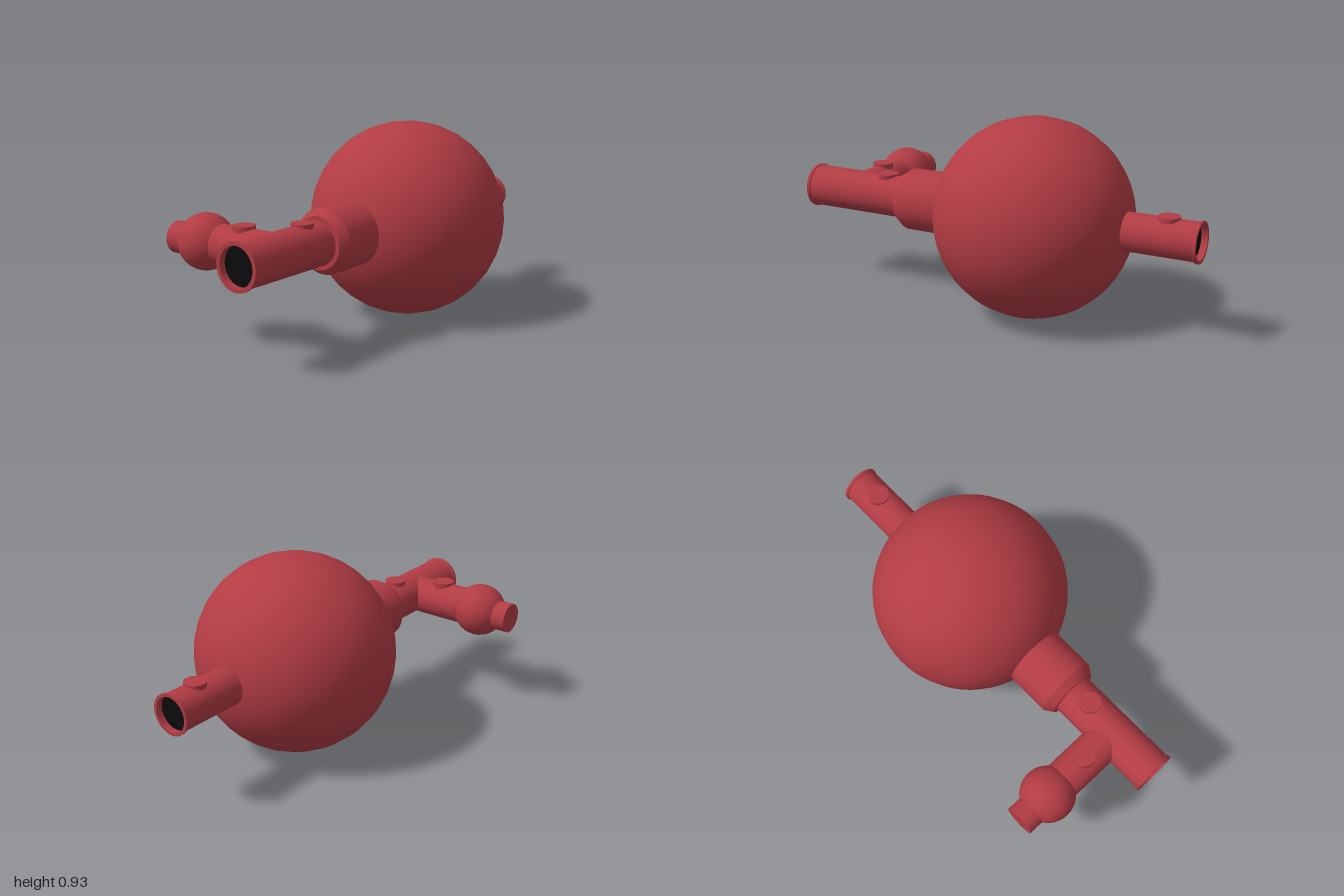
import * as THREE from 'three';
import { toCreasedNormals } from 'three/addons/utils/BufferGeometryUtils.js';

const AXIS_Y = 0.463, AXIS_Z = 0.06;

export function createModel() {
  const group = new THREE.Group();
  const red = new THREE.MeshStandardMaterial({ color: 0xb23c44 });
  red.name = 'red rubber';
  const black = new THREE.MeshStandardMaterial({ color: 0x0b0b0b });
  black.name = 'black bore';

  function add(name, geometry, material, x, y, z) {
    const mesh = new THREE.Mesh(geometry, material);
    mesh.name = name;
    mesh.position.set(x, y, z);
    group.add(mesh);
    return mesh;
  }

  // Turned part: profile of [radius, distance] pairs, running outwards along an axis
  function turned(name, profile, axis, x = 0, z = AXIS_Z) {
    const points = profile.map(([r, d]) => new THREE.Vector2(r, d));
    const geometry = toCreasedNormals(new THREE.LatheGeometry(points, 32), 0.5);
    const mesh = add(name, geometry, red, x, AXIS_Y, z);
    mesh.quaternion.setFromUnitVectors(new THREE.Vector3(0, 1, 0), axis);
  }

  const left = new THREE.Vector3(1, 0, 0);
  const right = new THREE.Vector3(-1, 0, 0);
  const back = new THREE.Vector3(0, 0, -1);

  // Main bulb
  const bulb = new THREE.SphereGeometry(0.463, 32, 32);
  bulb.rotateZ(Math.PI / 2);
  add('bulb', bulb, red, 0.205, AXIS_Y, AXIS_Z);

  // Open tubes with a lip and a dark bore on either side
  for (const [name, axis, r, bore, start] of [
    ['inletTube', left, 0.088, 0.08, 0.6],
    ['outletTube', right, 0.1, 0.088, 0.42],
  ]) {
    turned(name, [[r, start], [r, 0.982], [r + 0.006, 0.988], [r + 0.006, 1],
      [bore, 1], [bore, 0.96]], axis);
    const disc = new THREE.CircleGeometry(bore, 32);
    disc.rotateY(axis.x * Math.PI / 2);
    add(name + 'Bore', disc, black, axis.x * 0.97, AXIS_Y, AXIS_Z);
  }

  // Collar with a bevelled end
  turned('collar', [[0.148, 0.15], [0.148, 0.442], [0.12, 0.485], [0, 0.485]], right);

  // Side branch: neck, small bulb and end plug
  turned('branchNeck', [[0.09, -0.06], [0.09, 0.258], [0, 0.258]], back, -0.74, 0);
  const ball = new THREE.SphereGeometry(0.127, 32, 24);
  ball.rotateX(Math.PI / 2);
  add('branchBulb', ball, red, -0.74, AXIS_Y + 0.002, -0.35);
  turned('branchPlug', [[0.072, 0.4], [0.072, 0.525], [0, 0.525]], back, -0.74, 0);

  // Round valve buttons on top of the tubes
  for (const [name, x, top, z] of [
    ['inletButton', 0.85, 0.56, AXIS_Z],
    ['outletButton', -0.585, 0.572, AXIS_Z],
    ['branchButton', -0.74, 0.565, -0.13],
  ]) {
    add(name, new THREE.CylinderGeometry(0.05, 0.05, 0.04, 32), red, x, top - 0.02, z);
  }

  return group;
}
